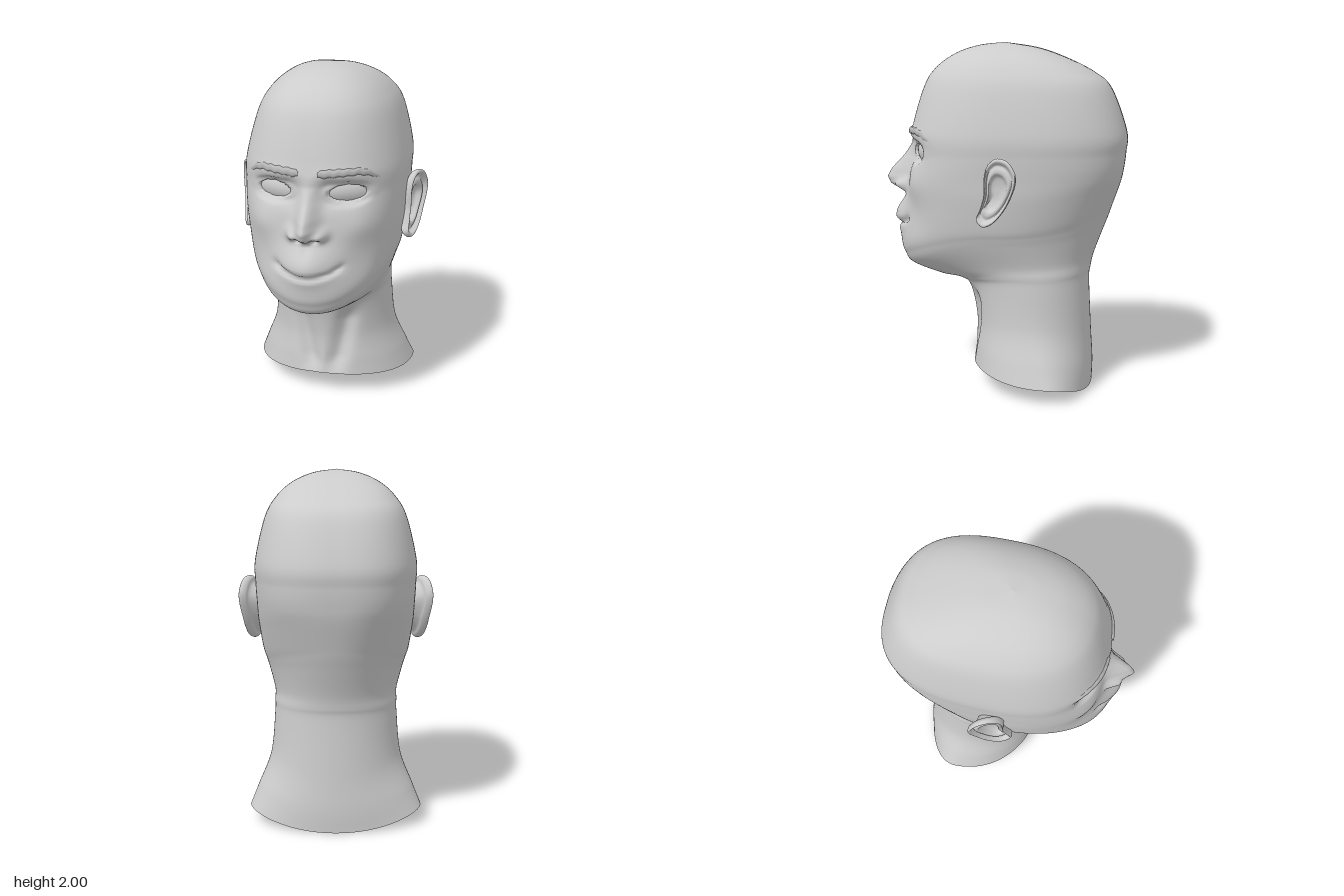
import * as THREE from 'three';

const V = (x, y, z) => new THREE.Vector3(x, y, z);
const gauss = (d, s) => Math.exp(-(d / s) * (d / s));
const smooth = THREE.MathUtils.smoothstep;

// Smooth surface from a rule fn(u, v); u may wrap round, side = -1 mirrors it in x
function surface(fn, nu, nv, wrap, side = 1) {
  const pos = [], idx = [], cols = wrap ? nu : nu + 1;
  for (let i = 0; i <= nv; i++) {
    for (let j = 0; j < cols; j++) {
      const p = fn(j / nu, i / nv);
      pos.push(p.x * side, p.y, p.z);
    }
  }
  for (let i = 0; i < nv; i++) {
    for (let j = 0; j < nu; j++) {
      const a = i * cols + j, b = i * cols + (j + 1) % cols, c = a + cols, d = b + cols;
      if (side > 0) idx.push(a, b, d, a, d, c);
      else idx.push(a, d, b, a, c, d);
    }
  }
  const g = new THREE.BufferGeometry();
  g.setAttribute('position', new THREE.Float32BufferAttribute(pos, 3));
  g.setIndex(idx);
  g.computeVertexNormals();
  return g;
}

// Linear lookup in rows of [key, value]
function lookup(rows, k) {
  if (k <= rows[0][0]) return rows[0][1];
  for (let i = 1; i < rows.length; i++) {
    const [a, p] = rows[i - 1], [b, q] = rows[i];
    if (k <= b) return p + (q - p) * (k - a) / (b - a);
  }
  return rows[rows.length - 1][1];
}

// Three guide lines of the head, from the neck opening to the crown
const guide = points => new THREE.CatmullRomCurve3(points.map(p => V(...p)), false, 'catmullrom', 0.5);
const frontLine = guide([
  [0, 0.135, 0.18], [0, 0.22, 0.175], [0, 0.39, 0.168], [0, 0.58, 0.205], [0, 0.63, 0.27], [0, 0.645, 0.39],
  [0, 0.7, 0.55], [0, 0.76, 0.595], [0, 0.84, 0.61], [0, 1.05, 0.57], [0, 1.2, 0.555], [0, 1.35, 0.54],
  [0, 1.5, 0.535], [0, 1.735, 0.468], [0, 1.85, 0.4], [0, 1.935, 0.285], [0, 1.982, 0.15], [0, 2, 0],
]);
const sideLine = guide([
  [0.49, 0.09, -0.29], [0.445, 0.2, -0.25], [0.375, 0.38, -0.2], [0.352, 0.62, -0.17], [0.352, 0.69, -0.15],
  [0.355, 0.75, -0.1], [0.39, 0.86, -0.02], [0.41, 0.92, 0], [0.428, 0.98, 0], [0.45, 1.14, 0],
  [0.455, 1.25, 0], [0.46, 1.37, -0.02], [0.458, 1.5, -0.05], [0.4, 1.735, -0.09], [0.335, 1.85, -0.08],
  [0.245, 1.93, -0.06], [0.13, 1.98, -0.02], [0, 2, 0],
]);
const backLine = guide([
  [0, 0, -0.53], [0, 0.13, -0.532], [0, 0.32, -0.52], [0, 0.62, -0.505], [0, 0.7, -0.513], [0, 0.78, -0.53],
  [0, 0.92, -0.58], [0, 1, -0.61], [0, 1.06, -0.63], [0, 1.2, -0.677], [0, 1.28, -0.695], [0, 1.38, -0.707],
  [0, 1.5, -0.708], [0, 1.735, -0.62], [0, 1.83, -0.52], [0, 1.915, -0.35], [0, 1.97, -0.19], [0, 2, 0],
]);

const noseHeight = [[1.11, 0], [1.135, 0.035], [1.15, 0.085], [1.17, 0.125], [1.21, 0.153],
  [1.26, 0.132], [1.34, 0.065], [1.42, 0.012], [1.5, 0]];
const noseWidth = [[1.15, 0.065], [1.21, 0.06], [1.3, 0.05], [1.42, 0.045]];

// Eye opening: squared distance from its centre, and its slanted plane
const eyeDist = (x, y) => ((x - 0.2) / 0.093) ** 2 + ((y - 1.383) / 0.044) ** 2;
const eyePlane = x => 0.452 - 0.45 * (x - 0.2);

// Facial features pushed out of, or into, the plain head
function features(px, y, z) {
  const x = Math.abs(px);
  const spot = (cx, cy, sx, sy, amount) => amount * gauss(x - cx, sx) * gauss(y - cy, sy);
  let d = lookup(noseHeight, y) * gauss(x, lookup(noseWidth, y));
  d += spot(0.08, 1.172, 0.03, 0.032, 0.055);          // nostril wings
  d += spot(0.045, 1.14, 0.02, 0.015, -0.04);          // nostrils
  d += spot(0, 1.0, 0.14, 0.11, 0.075);                // lips
  d += spot(0, 1.09, 0.02, 0.04, -0.01);               // groove under the nose
  const mouthY = 0.938 + 0.045 * (x / 0.18) ** 2;
  d -= 0.03 * gauss(y - mouthY, 0.016) * (1 - smooth(x, 0.15, 0.2));
  d += spot(0.18, 0.985, 0.03, 0.03, -0.012);          // mouth corners
  d += spot(0.27, 1.0, 0.08, 0.1, -0.012);             // cheek hollows
  d += spot(0.28, 1.2, 0.09, 0.08, 0.015);             // cheekbones
  d += spot(0.2, 1.385, 0.12, 0.07, -0.04);            // eye sockets
  d += spot(0.11, 1.39, 0.045, 0.06, -0.03);
  d += spot(0.17, 1.485, 0.14, 0.035, 0.012);          // brow ridge
  const grooveX = 0.075 + 0.2 * Math.max(0, y - 0.2);  // hollows beside the throat
  d -= 0.045 * gauss(x - grooveX, 0.055) * smooth(y, 0.1, 0.25) * (1 - smooth(y, 0.48, 0.62));
  let out = z + d * smooth(z, -0.02, 0.12);
  if (z > 0.15) {
    const e = eyeDist(x, y);
    out = THREE.MathUtils.lerp(out, eyePlane(x) + 0.014, 1 - smooth(e, 1.3, 3));  // eyelids
    out -= 0.05 * (1 - smooth(e, 0.7, 1.1));
  }
  return out;
}

// Each ring is a rounded oval through the three guide lines
function headPoint(u, v) {
  const a = u * Math.PI * 2, f = frontLine.getPoint(v), s = sideLine.getPoint(v), b = backLine.getPoint(v);
  const c = Math.cos(a), q = Math.sin(a), end = c > 0 ? f : b;
  const n = 2.05 + smooth(v, 0.44, 0.62) * (c > 0 ? 0.35 : 0.6);
  const r = (Math.abs(c) ** n + Math.abs(q) ** n) ** (-1 / n);
  const x = s.x * r * q, w = Math.abs(r * c);
  const y = s.y + (end.y - s.y) * Math.min(1, w * w);
  return V(x, y, features(x, y, s.z + (end.z - s.z) * w));
}

// Ear outline as (z, y), and its section from the root behind, over the rim, into the hollow
const earOutline = new THREE.CatmullRomCurve3([
  [-0.13, 1.31], [-0.085, 1.375], [-0.02, 1.387], [0.03, 1.345], [0.05, 1.275], [0.052, 1.18], [0.075, 1.1],
  [0.095, 1.045], [0.06, 1.01], [0.005, 1.03], [-0.06, 1.1], [-0.105, 1.18], [-0.132, 1.26],
].map(([z, y]) => V(0, y, z)), true);
const earSection = new THREE.SplineCurve([
  [0.55, -0.13], [0.75, -0.045], [0.93, -0.03], [1, -0.012], [0.98, 0.007], [0.9, 0.008], [0.8, -0.014],
  [0.68, -0.004], [0.56, -0.006], [0.45, -0.032], [0.2, -0.042], [0, -0.042],
].map(([s, o]) => new THREE.Vector2(s, o)));
function earPoint(u, v) {
  const o = earOutline.getPoint(u), k = earSection.getPoint(v);
  const y = 1.2 + (o.y - 1.2) * k.x, z = -0.02 + (o.z + 0.02) * k.x;
  return V(0.465 + 0.42 * (0.075 - z) + 0.12 * Math.max(0, 1.15 - y) + k.y, y, z);
}

// Gently domed eye inside the lids
function eyePoint(u, v) {
  const a = u * Math.PI * 2, r = 1.06 * (1 - v), x = 0.2 + 0.093 * r * Math.cos(a);
  return V(x, 1.383 + 0.044 * r * Math.sin(a), eyePlane(x) + 0.012 * (1 - r * r));
}

// Eyebrow strip lying on the brow ridge
const browLine = [[0, 1.492], [0.4, 1.503], [0.7, 1.505], [0.88, 1.485], [1, 1.455]];
function browPoint(u, v) {
  const x = 0.052 + 0.306 * u, t = v * 2 - 1;
  const half = (0.025 - 0.009 * u) * Math.min(1, 0.5 + 6 * Math.min(u, 1 - u));
  const y = lookup(browLine, u) + half * t + 0.003 * Math.sin(u * 40);
  const z = -0.05 + 0.585 * (1 - (x / 0.458) ** 2.4) ** (1 / 2.4);
  return V(x, y, features(x, y, z) + 0.014 * (1 - t ** 4) - 0.003);
}

export function createModel() {
  const model = new THREE.Group();
  const skin = new THREE.MeshStandardMaterial({ color: 0xcccccc, side: THREE.DoubleSide });
  skin.name = 'plain grey';
  const hair = new THREE.MeshStandardMaterial({ color: 0xb4b4b4, side: THREE.DoubleSide });
  hair.name = 'brow grey';
  const add = (name, geometry, material) => {
    const mesh = new THREE.Mesh(geometry, material);
    mesh.name = name;
    model.add(mesh);
  };

  add('headAndNeck', surface(headPoint, 176, 252, true), skin);
  for (const [label, side] of [['left', 1], ['right', -1]]) {
    add(label + 'Ear', surface(earPoint, 56, 44, true, side), skin);
    add(label + 'Eye', surface(eyePoint, 32, 8, true, side), skin);
    add(label + 'Eyebrow', surface(browPoint, 30, 8, false, side), hair);
  }
  return model;
}
